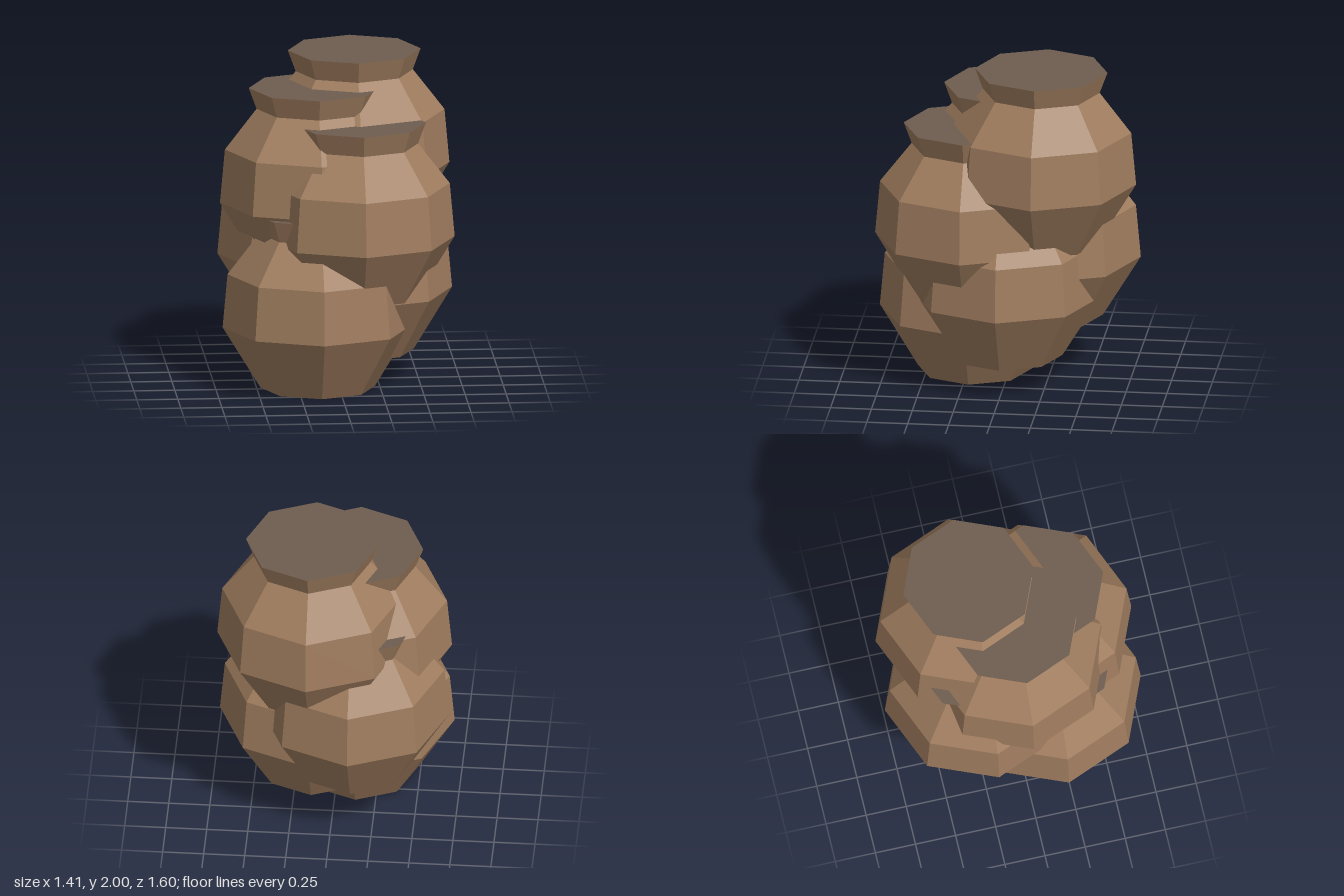
import * as THREE from 'three';

// One pot: radius and height from base to flared rim
const PROFILE = [[0, 0], [0.348, 0], [0.58, 0.38], [0.55, 0.71], [0.357, 0.96], [0.405, 1.09]];
const SIDES = 8;
const STEP = 0.182;

export function createModel() {
  const model = new THREE.Group();
  model.name = 'potStack';

  const clay = new THREE.MeshStandardMaterial({ color: 0xa07d5f, flatShading: true });
  clay.name = 'clay';
  const filling = new THREE.MeshStandardMaterial({ color: 0x6e5d4f, flatShading: true });
  filling.name = 'dull brown filling';

  const potGeometry = new THREE.LatheGeometry(PROFILE.map(([r, y]) => new THREE.Vector2(r, y)), SIDES);
  const topGeometry = new THREE.CircleGeometry(0.405, SIDES).rotateX(-Math.PI / 2);

  // Six overlapping pots, each one step higher: [x, z]
  const centres = [
    [-0.127, 0.218], [0.127, 0], [-0.127, -0.218],
    [0.127, 0.218], [-0.127, 0], [0.127, -0.218],
  ];
  centres.forEach(([x, z], i) => {
    const pot = new THREE.Group();
    pot.name = `pot${i + 1}`;
    const body = new THREE.Mesh(potGeometry, clay);
    body.name = 'potBody';
    const top = new THREE.Mesh(topGeometry, filling);
    top.name = 'potTop';
    top.position.y = 1.09;
    pot.add(body, top);
    pot.position.set(x, i * STEP, z);
    model.add(pot);
  });
  return model;
}
